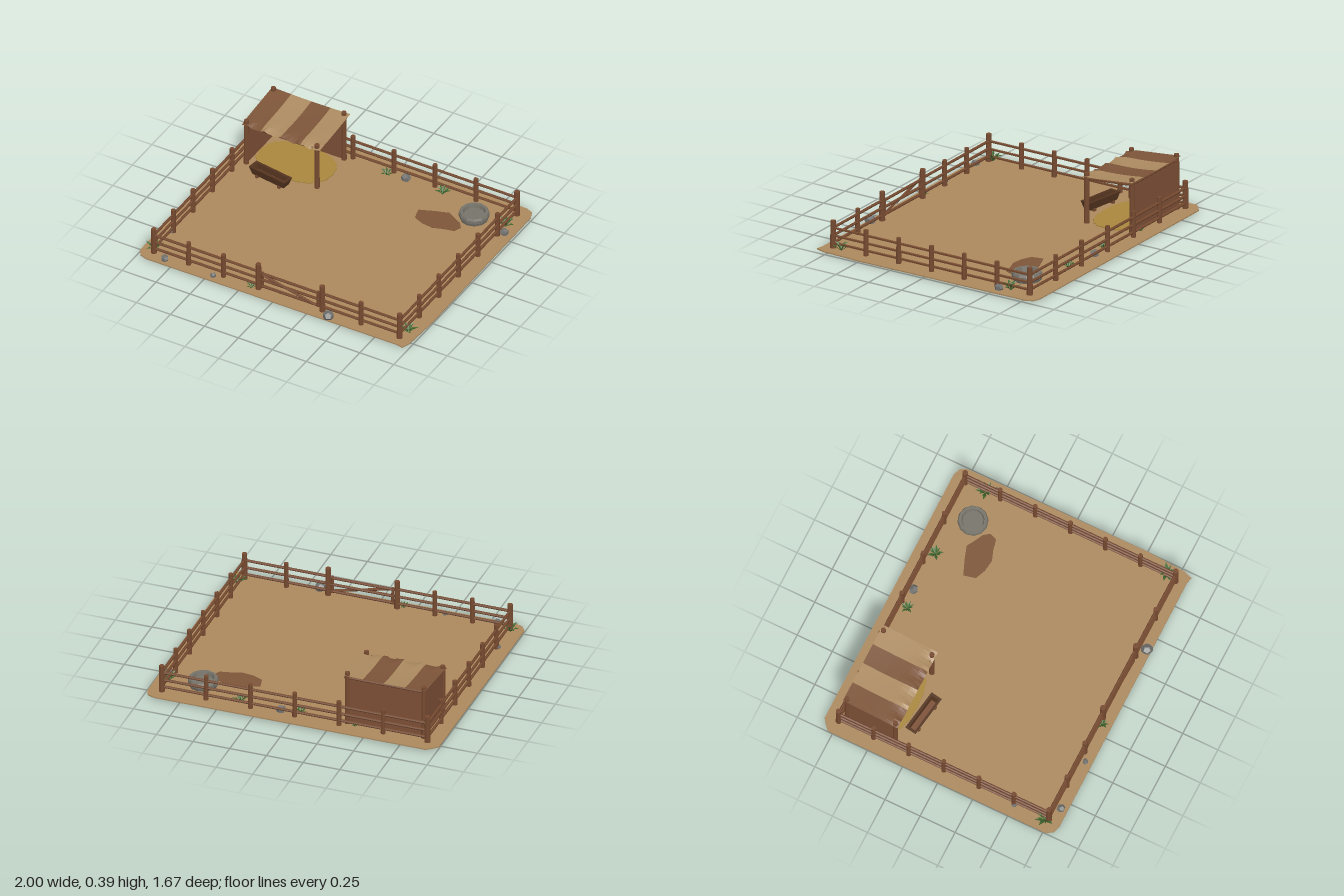
import * as THREE from 'three';

const mat = (name, color, double) => {
  const m = new THREE.MeshStandardMaterial({ color });
  m.name = name;
  m.flatShading = true;
  if (double) m.side = THREE.DoubleSide;
  return m;
};

export function createModel() {
  const M = {
    sand: mat('sand', 0xab885d),
    wood: mat('wood', 0x75492f),
    plank: mat('plank', 0x7d4f36),
    clothBrown: mat('brown cloth', 0x7d5539, true),
    clothTan: mat('tan cloth', 0xab8a60, true),
    straw: mat('straw', 0xa8863c),
    stone: mat('stone', 0x76736a),
    rock: mat('rock', 0x70706e),
    leaf: mat('leaf', 0x42682f, true),
    dark: mat('dark wood', 0x54341f),
  };
  const root = new THREE.Group();
  root.name = 'paddock';
  const G = 0.008; // ground top
  const group = (name, parent = root) => {
    const g = new THREE.Group();
    g.name = name;
    parent.add(g);
    return g;
  };
  const add = (parent, name, geo, m, x = 0, y = 0, z = 0) => {
    const mesh = new THREE.Mesh(geo, m);
    mesh.name = name;
    mesh.position.set(x, y, z);
    parent.add(mesh);
    return mesh;
  };
  // round bar between two points
  const bar = (parent, name, a, b, r, m = M.wood, sides = 6) => {
    const p = new THREE.Vector3(...a), q = new THREE.Vector3(...b);
    const d = q.clone().sub(p);
    const mesh = add(parent, name, new THREE.CylinderGeometry(r * 0.92, r, d.length(), sides), m);
    mesh.position.copy(p).add(q).multiplyScalar(0.5);
    mesh.quaternion.setFromUnitVectors(new THREE.Vector3(0, 1, 0), d.normalize());
    return mesh;
  };
  // flat plate from [x, z] outline, standing on y
  const plate = (parent, name, pts, h, m, y) => {
    const shape = new THREE.Shape(pts.map(([x, z]) => new THREE.Vector2(x, -z)));
    const geo = new THREE.ExtrudeGeometry(shape, { depth: h, bevelEnabled: false });
    geo.rotateX(-Math.PI / 2);
    return add(parent, name, geo, m, 0, y, 0);
  };

  // Ground slab with clipped corners
  plate(root, 'ground', [[-0.93, -0.84], [0.92, -0.84], [0.97, -0.82], [0.99, -0.77], [1, 0.5],
    [0.985, 0.77], [0.965, 0.83], [0.92, 0.82], [-0.92, 0.83], [-0.97, 0.815], [-1, 0.77], [-1, -0.78], [-0.97, -0.81]],
    G, M.sand, 0);

  // Fence: posts and three rails per run
  const L = -0.91, R = 0.9, F = 0.75;
  const fence = group('fence');
  const post = (x, z, h, r) => bar(fence, 'fencePost', [x, G, z], [x, h, z], r, M.wood, 8);
  const railYs = [0.042, 0.092, 0.145];
  const run = (name, a, b, n) => {
    for (const y of railYs) bar(fence, name, [a[0], y, a[1]], [b[0], y, b[1]], 0.0095);
    for (let i = 1; i < n; i++) {
      const t = i / n;
      post(a[0] + (b[0] - a[0]) * t, a[1] + (b[1] - a[1]) * t, 0.183, 0.017);
    }
  };
  run('backRail', [L, -F], [R, -F], 6);
  run('rightRail', [L, -F], [L, F], 6);
  run('leftRail', [R, -F], [R, F], 6);
  run('frontRail', [L, F], [-0.14, F], 3);
  run('frontRail', [0.33, F], [R, F], 2);
  for (const x of [L, R]) for (const z of [-F, F]) post(x, z, 0.195, 0.02);

  // Gate
  const gate = group('gate');
  for (const x of [-0.14, 0.33]) bar(gate, 'gatePost', [x, G, F], [x, 0.205, F], 0.02, M.wood, 8);
  for (const y of [0.04, 0.09, 0.138]) bar(gate, 'gateRail', [-0.12, y, F], [0.31, y, F], 0.01);
  for (const x of [-0.11, 0.3]) bar(gate, 'gateStile', [x, 0.03, F], [x, 0.15, F], 0.01);
  bar(gate, 'gateBrace', [-0.1, 0.135, F + 0.008], [0.29, 0.042, F + 0.008], 0.009);

  // Shelter: posts, beams and two plank walls
  const shelter = group('shelter');
  const sx = [-0.87, -0.35], zb = -0.71, zf = -0.365;
  for (const x of sx) {
    bar(shelter, 'shelterPost', [x, G, zb], [x, 0.385, zb], 0.018, M.wood, 8);
    bar(shelter, 'shelterPost', [x, G, zf], [x, 0.35, zf], 0.018, M.wood, 8);
    bar(shelter, 'sideBeam', [x, 0.312, zf], [x, 0.342, zb], 0.01);
  }
  bar(shelter, 'frontBeam', [-0.88, 0.312, zf], [-0.33, 0.312, zf], 0.01);
  bar(shelter, 'backBeam', [-0.88, 0.345, zb], [-0.33, 0.345, zb], 0.01);
  add(shelter, 'backWall', new THREE.BoxGeometry(0.52, 0.325, 0.012), M.plank, -0.61, 0.175, zb);
  const side = new THREE.Shape([[-zf, 0.012], [-zb, 0.012], [-zb, 0.34], [-zf, 0.31]].map(p => new THREE.Vector2(...p)));
  const sideGeo = new THREE.ExtrudeGeometry(side, { depth: 0.012, bevelEnabled: false });
  sideGeo.rotateY(Math.PI / 2);
  add(shelter, 'sideWall', sideGeo, M.plank, -0.876, 0, 0);

  // Striped cloth roof, sagging, with a gathered front hem
  const edges = [-0.89, -0.75, -0.602, -0.46, -0.315];
  for (let s = 0; s < 4; s++) {
    const w = edges[s + 1] - edges[s];
    const geo = new THREE.PlaneGeometry(w, 1, 6, 8);
    geo.rotateX(-Math.PI / 2);
    const p = geo.attributes.position;
    for (let i = 0; i < p.count; i++) {
      const x = p.getX(i) + (edges[s] + edges[s + 1]) / 2;
      const v = p.getZ(i) + 0.5; // 0 back, 1 front
      const u = (x + 0.89) / 0.575;
      const hem = Math.max(0, (v - 0.72) / 0.28);
      const y = 0.368 - 0.04 * v - 0.01 * Math.sin(Math.PI * u) * Math.sin(Math.PI * Math.min(1, v + 0.2))
        + hem * 0.007 * Math.sin(u * 27) - (v > 0.99 ? 0.007 + 0.004 * Math.sin(u * 60) : 0);
      p.setXYZ(i, x, y, -0.73 + 0.39 * v);
    }
    geo.computeVertexNormals();
    add(shelter, 'roofCloth', geo, s % 2 ? M.clothTan : M.clothBrown);
  }

  // Straw bedding with a scalloped rim
  const straw = [];
  for (let i = 0; i < 40; i++) {
    const a = i / 40 * Math.PI * 2, c = Math.cos(a), s = Math.sin(a), k = i % 2 ? 0.97 : 1;
    straw.push([-0.595 + 0.27 * k * Math.sign(c) * Math.abs(c) ** 0.8, -0.525 + 0.185 * k * Math.sign(s) * Math.abs(s) ** 0.8]);
  }
  plate(root, 'strawBedding', straw, 0.006, M.straw, G);

  // Mud patch
  plate(root, 'mudPatch', [[0.33, -0.48], [0.43, -0.52], [0.52, -0.55], [0.57, -0.52], [0.63, -0.49], [0.66, -0.45],
    [0.64, -0.4], [0.57, -0.385], [0.5, -0.36], [0.42, -0.37], [0.35, -0.4], [0.34, -0.44]], 0.003, M.clothBrown, G);

  // Feeding trough: flared open box
  const trough = group('trough');
  trough.position.set(-0.643, G, -0.278);
  trough.rotation.y = -0.15;
  const rim = new THREE.Shape([[-0.146, -0.04], [0.146, -0.04], [0.146, 0.04], [-0.146, 0.04]].map(p => new THREE.Vector2(...p)));
  rim.holes.push(new THREE.Path([[-0.128, -0.024], [-0.128, 0.024], [0.128, 0.024], [0.128, -0.024]].map(p => new THREE.Vector2(...p))));
  const tGeo = new THREE.ExtrudeGeometry(rim, { depth: 0.055, bevelEnabled: false });
  tGeo.rotateX(-Math.PI / 2);
  const tp = tGeo.attributes.position;
  for (let i = 0; i < tp.count; i++) {
    const k = tp.getY(i) < 0.02 ? 1 : 0;
    tp.setX(i, tp.getX(i) * (1 - 0.13 * k));
    tp.setZ(i, tp.getZ(i) * (1 - 0.3 * k));
  }
  tGeo.computeVertexNormals();
  add(trough, 'troughSides', tGeo, M.dark, 0, 0.014, 0);
  add(trough, 'troughFloor', new THREE.BoxGeometry(0.23, 0.012, 0.045), M.plank, 0, 0.024, 0);
  for (const x of [-0.09, 0.09]) add(trough, 'troughFoot', new THREE.BoxGeometry(0.02, 0.018, 0.07), M.wood, x, 0.009, 0);

  // Stone water basin
  const basin = [[0, 0], [0.092, 0], [0.099, 0.02], [0.099, 0.042], [0.092, 0.056], [0.074, 0.056], [0.068, 0.03], [0, 0.03]]
    .map(p => new THREE.Vector2(...p));
  add(root, 'waterBasin', new THREE.LatheGeometry(basin, 12), M.stone, 0.68, G, -0.585);

  // Rocks
  [[0.1, -0.72, 0.034], [0.93, -0.535, 0.032], [-0.81, 0.785, 0.029], [-0.455, 0.783, 0.021], [0.4, 0.795, 0.04], [-0.918, 0.505, 0.021]]
    .forEach(([x, z, r], i) => {
      const m = add(root, 'rock', new THREE.DodecahedronGeometry(r), M.rock, x, G + r * 0.4, z);
      m.rotation.y = i * 1.3;
      m.scale.set(1, 0.85, 0.92);
    });

  // Leafy plants: each leaf is a folded, drooping blade
  const blade = new THREE.BufferGeometry();
  blade.setAttribute('position', new THREE.Float32BufferAttribute(
    [0, 0, 0, 0.5, 0.62, 0.17, 0.55, 0.55, 0, 0.5, 0.62, -0.17, 1, 0.75, 0], 3));
  blade.setIndex([0, 1, 2, 0, 2, 3, 1, 4, 2, 2, 4, 3]);
  blade.computeVertexNormals();
  [[-0.03, -0.7, 0.045], [0.38, -0.705, 0.053], [0.9, -0.605, 0.064], [-0.92, 0.725, 0.064], [0.92, 0.675, 0.064],
    [-0.18, 0.765, 0.04], [-0.41, -0.735, 0.028]].forEach(([x, z, r], n) => {
    const plant = group('plant');
    plant.position.set(x, G, z);
    for (let i = 0; i < 9; i++) {
      const m = add(plant, 'leafBlade', blade, M.leaf);
      const k = r * (i % 2 ? 0.8 : 1.05);
      m.rotation.y = i * Math.PI * 2 / 9 + n;
      m.scale.set(k, r * (i % 2 ? 1.2 : 0.85), k * 1.1);
    }
  });

  return root;
}
